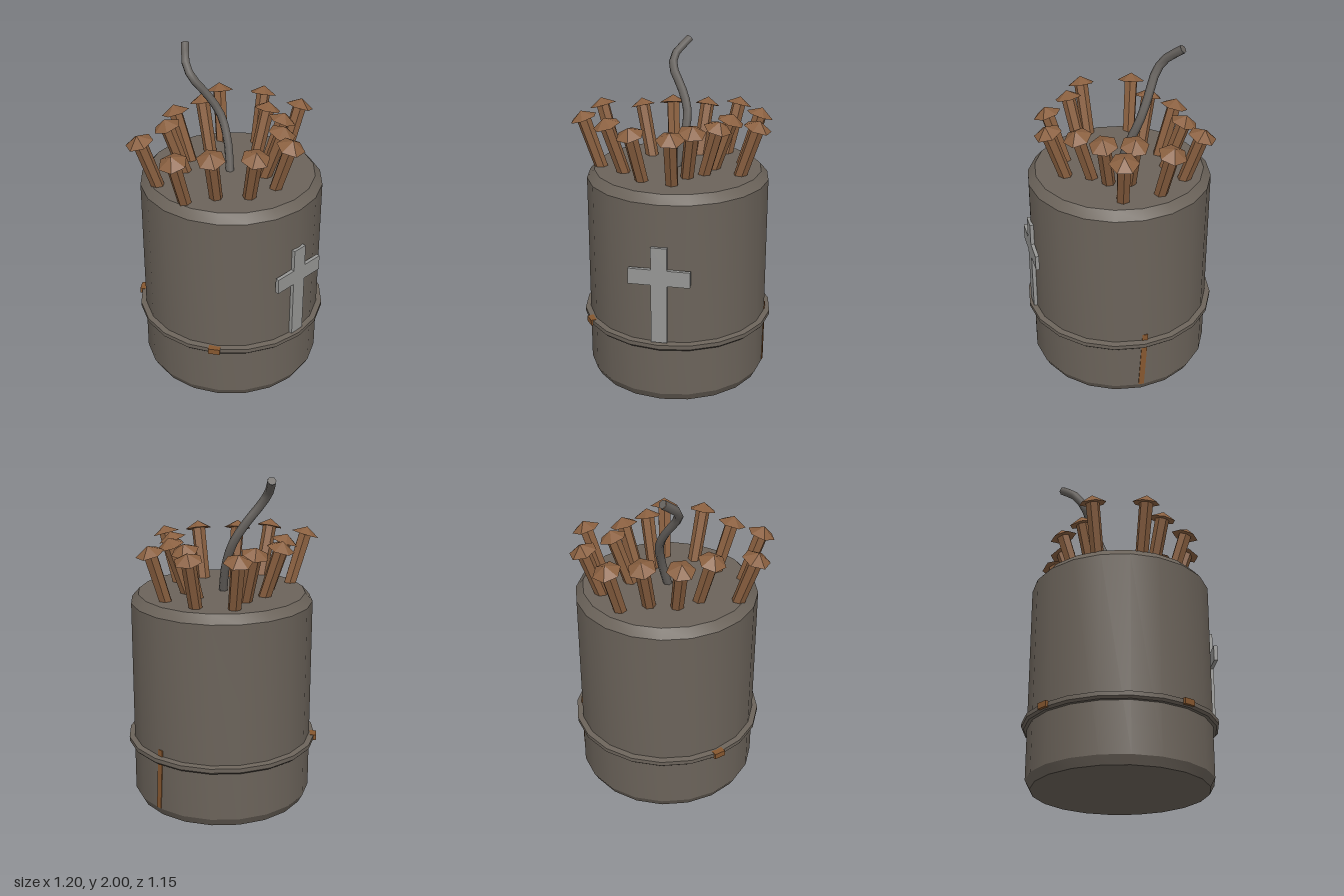
import * as THREE from 'three';
import { toCreasedNormals } from 'three/addons/utils/BufferGeometryUtils.js';

const mat = (name, color, flatShading = false) => {
  const m = new THREE.MeshStandardMaterial({ color, flatShading });
  m.name = name;
  return m;
};

export function createModel() {
  const model = new THREE.Group();
  model.name = 'nailBomb';
  const iron = mat('dull iron', 0x6b635a);
  const cord = mat('fuse grey', 0x66625e);
  const silver = mat('pale metal', 0x979795);
  const rust = mat('rusty nail', 0x8a6040, true);
  const streakRust = mat('rust streak', 0x86572f);

  const add = (parent, name, geo, material, x = 0, y = 0, z = 0) => {
    const mesh = new THREE.Mesh(geo, material);
    mesh.name = name;
    mesh.position.set(x, y, z);
    parent.add(mesh);
    return mesh;
  };
  const lathe = (pts) => toCreasedNormals(
    new THREE.LatheGeometry(pts.map(([r, y]) => new THREE.Vector2(r, y)), 20), 0.4);

  // Canister and everything fixed to it share an axis slightly off centre
  const can = new THREE.Group();
  can.name = 'canister';
  can.position.x = 0.025;
  model.add(can);
  add(can, 'canisterBody', lathe([[0, 0], [0.515, 0], [0.542, 0.05], [0.542, 1.24], [0.498, 1.29], [0, 1.29]]), iron);
  add(can, 'band', lathe([[0.53, 0.352], [0.562, 0.352], [0.575, 0.365], [0.575, 0.39], [0.53, 0.398]]), iron);

  // Cross plate on the front
  const cross = new THREE.Shape();
  [[-0.047, 0.4], [0.047, 0.4], [0.047, 0.76], [0.18, 0.76], [0.18, 0.855], [0.047, 0.855],
    [0.047, 0.99], [-0.047, 0.99], [-0.047, 0.855], [-0.18, 0.855], [-0.18, 0.76], [-0.047, 0.76]]
    .forEach(([x, y], i) => (i ? cross.lineTo(x, y) : cross.moveTo(x, y)));
  add(can, 'cross', new THREE.ExtrudeGeometry(cross, { depth: 0.022, bevelEnabled: false }), silver, 0, 0, 0.535);

  // Rust streak down the side and rust patches on the band
  const streak = add(can, 'rustStreak', new THREE.BoxGeometry(0.008, 0.38, 0.034), streakRust, 0.54, 0.245, -0.003);
  streak.rotation.x = -0.055;
  [[-0.336, -0.455], [-0.465, 0.318]].forEach(([x, z]) => {
    const patch = add(can, 'rustPatch', new THREE.BoxGeometry(0.04, 0.035, 0.07), streakRust, x, 0.377, z);
    patch.rotation.y = Math.atan2(-z, x);
  });

  // Nails splayed outward: head centres as x, z
  const shaft = new THREE.CylinderGeometry(0.042, 0.038, 0.4, 6);
  shaft.rotateY(Math.PI / 6);
  const head = new THREE.ConeGeometry(0.084, 0.048, 6);
  const heads = [
    [-0.488, -0.218], [-0.244, -0.257], [-0.077, -0.365], [0.138, -0.356], [0.327, -0.4],
    [0.485, -0.177], [0.335, -0.005], [0.505, 0.103], [0.286, 0.16], [0.157, 0.276],
    [0.064, 0.425], [-0.173, 0.379], [-0.35, 0.212], [-0.522, 0.093],
  ];
  heads.forEach(([x, z]) => {
    const nail = new THREE.Group();
    nail.name = 'nail';
    nail.position.set(x, 1.58, z);
    nail.rotation.order = 'YXZ';
    nail.rotation.y = Math.atan2(-z, x - 0.025);
    nail.rotation.z = -0.32;
    add(nail, 'nailShaft', shaft, rust, 0, -0.2, 0);
    add(nail, 'nailHead', head, rust, 0, 0.024, 0);
    model.add(nail);
  });

  // Curling fuse with a capped end
  const path = new THREE.CatmullRomCurve3([
    [0.01, 1.25, 0.005], [0.05, 1.45, -0.055], [0.058, 1.6, -0.12], [0.012, 1.72, -0.18],
    [-0.047, 1.82, -0.235], [-0.055, 1.89, -0.285], [0.022, 1.983, -0.375],
  ].map((p) => new THREE.Vector3(...p)));
  add(model, 'fuse', new THREE.TubeGeometry(path, 14, 0.026, 6), cord);
  const end = path.getPoint(1);
  const tip = add(model, 'fuseTip', new THREE.CircleGeometry(0.026, 6), cord, end.x, end.y, end.z);
  tip.lookAt(end.clone().add(path.getTangent(1)));
  return model;
}
